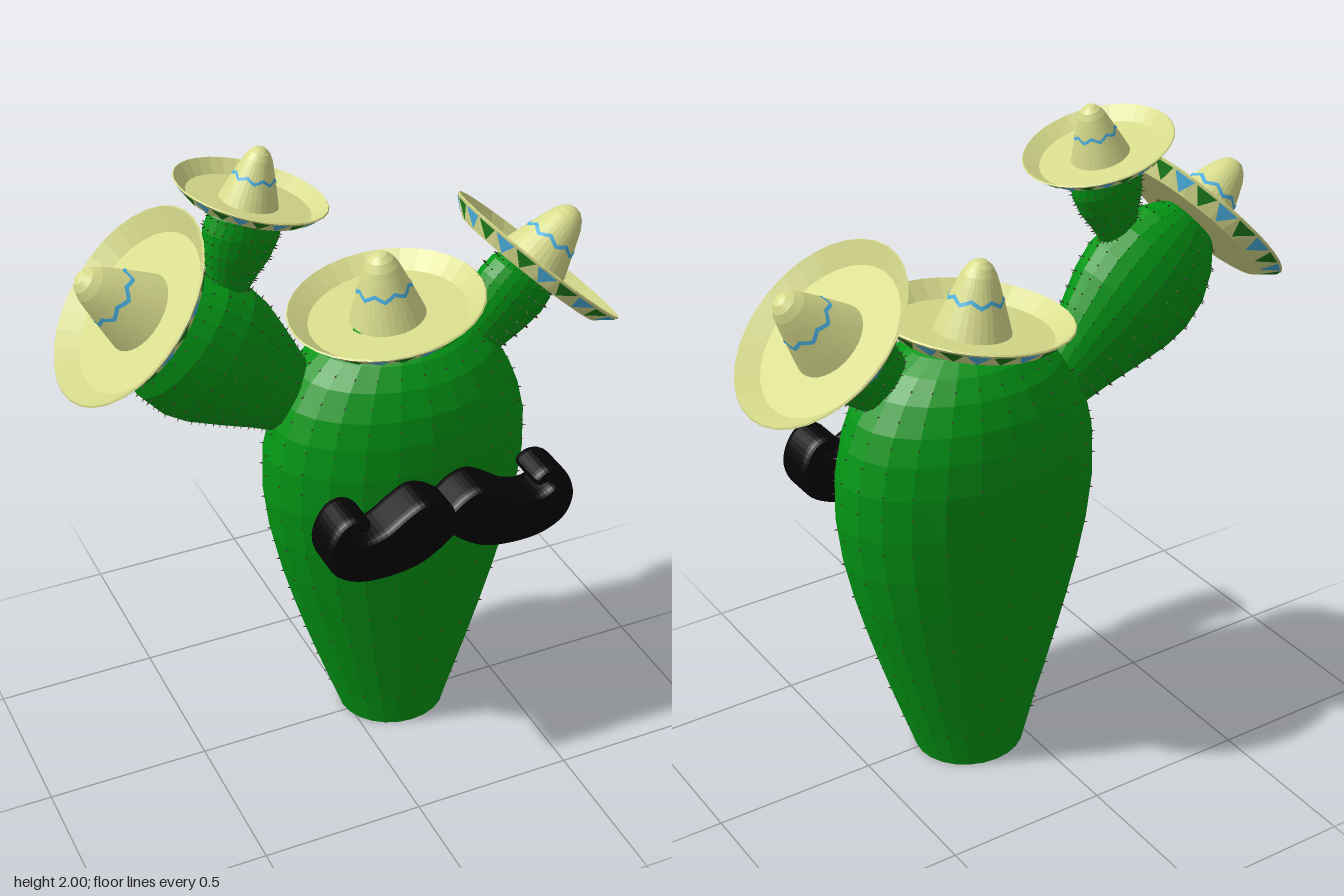
import * as THREE from 'three';
import { mergeGeometries } from 'three/addons/utils/BufferGeometryUtils.js';

const mat = (color, extra = {}) => new THREE.MeshStandardMaterial({ color, ...extra });
const green = mat(0x029614, { flatShading: true, side: THREE.DoubleSide });
const straw = mat(0xd8dc8c, { flatShading: true, side: THREE.DoubleSide });
const spineMat = mat(0x3c2a22);
const blue = mat(0x4ab0e0);
const darkGreen = mat(0x1c7a1c);
const black = mat(0x040404);
const SIDES = 24;

function mesh(name, geometry, material) {
  const m = new THREE.Mesh(geometry, material);
  m.name = name;
  return m;
}

// Linear lookup in rows of [key, a, b]
function sample(rows, s) {
  let i = 0;
  while (i < rows.length - 2 && rows[i + 1][0] < s) i++;
  const t = (s - rows[i][0]) / (rows[i + 1][0] - rows[i][0]);
  return rows[i].map((v, k) => THREE.MathUtils.lerp(v, rows[i + 1][k], t));
}

// Fleshy pod with elliptic cross-sections: rows of [height, half width, half depth]
function podGeometry(rows) {
  const g = new THREE.LatheGeometry(rows.map(([s, rx]) => new THREE.Vector2(rx, s)), SIDES);
  const p = g.attributes.position;
  for (let i = 0; i < p.count; i++) {
    const [, rx, rz] = rows[i % rows.length];
    if (rx > 0) p.setZ(i, p.getZ(i) * rz / rx);
  }
  g.computeVertexNormals();
  return g;
}

// Rows of tiny cones pointing outward from a pod
function spineGeometry(rows, step, start, end) {
  const spines = [];
  const up = new THREE.Vector3(0, 1, 0);
  for (let s = start; s < end; s += step) {
    const [, rx, rz] = sample(rows, s);
    for (let k = 0; k < SIDES; k++) {
      const a = (k / SIDES) * Math.PI * 2;
      const dir = new THREE.Vector3(Math.sin(a) / rx, 0, Math.cos(a) / rz).normalize();
      const cone = new THREE.ConeGeometry(0.005, 0.022, 4);
      cone.applyQuaternion(new THREE.Quaternion().setFromUnitVectors(up, dir));
      cone.translate(rx * Math.sin(a), s, rz * Math.cos(a));
      spines.push(cone);
    }
  }
  return mergeGeometries(spines);
}

// Hat with a flat floor, upturned brim, pointed crown, zigzag ribbon and triangle trim
function makeHat(name, scale) {
  const hat = new THREE.Group();
  hat.name = name;
  const crown = [[0.006, 0.115], [0.05, 0.1], [0.1, 0.082], [0.15, 0.064], [0.18, 0.052],
    [0.203, 0.038], [0.218, 0.02], [0.223, 0]];
  const profile = [[0, 0], [0.245, 0], [0.298, 0.048], [0.294, 0.052], [0.24, 0.006],
    ...crown.map(([y, r]) => [r, y])].map(([r, y]) => new THREE.Vector2(r, y));
  hat.add(mesh('hatShell', new THREE.LatheGeometry(profile, 32), straw));

  // Ribbon hugs the crown and zigzags up and down
  const ribbon = new THREE.CylinderGeometry(1, 1, 1, 32, 1, true);
  const p = ribbon.attributes.position;
  for (let i = 0; i < p.count; i++) {
    const y = 0.102 + 0.008 * Math.abs((i % 33) % 4 - 2) + p.getY(i) * 0.012;
    const r = sample(crown, y)[1] + 0.002;
    p.setXYZ(i, p.getX(i) * r, y, p.getZ(i) * r);
  }
  ribbon.computeVertexNormals();
  hat.add(mesh('hatRibbon', ribbon, blue));

  // Triangles lie just outside the upturned brim
  const trim = [[], []];
  const count = 24;
  const onBrim = (a, t) => {
    const r = THREE.MathUtils.lerp(0.247, 0.3, t);
    return [r * Math.sin(a), 0.048 * t - 0.002, r * Math.cos(a)];
  };
  for (let i = 0; i < count; i++) {
    const a = (i / count) * Math.PI * 2;
    const w = Math.PI / count * 0.9;
    trim[i % 2].push(...onBrim(a, 0.1), ...onBrim(a + w, 0.92), ...onBrim(a - w, 0.92));
  }
  trim.forEach((corners, i) => {
    const g = new THREE.BufferGeometry();
    g.setAttribute('position', new THREE.Float32BufferAttribute(corners, 3));
    g.computeVertexNormals();
    hat.add(mesh(i ? 'greenTrim' : 'blueTrim', g, i ? darkGreen : blue));
  });
  hat.scale.setScalar(scale);
  return hat;
}

// Limb whose local origin is the hat seat; the axis points along (dx, dy)
function makeLimb(name, [x, y, z], [dx, dy], profile, step, hatScale) {
  const limb = new THREE.Group();
  limb.name = name;
  const rows = profile.map(([s, r]) => [s, r, r * 0.66]);
  limb.add(mesh(name + 'Flesh', podGeometry(rows), green));
  limb.add(mesh(name + 'Spines', spineGeometry(rows, step, rows[0][0] + step, -0.02), spineMat));
  limb.add(makeHat(name + 'Hat', hatScale));
  limb.position.set(x, y, z);
  limb.rotation.z = Math.atan2(-dx, dy);
  return limb;
}

function makeMoustache() {
  // Left half outline, from the upper notch round the curl to the lower notch
  const half = [[0, 0.968], [0.045, 1], [0.095, 1.012], [0.15, 0.985], [0.21, 0.945], [0.27, 0.93],
    [0.315, 0.945], [0.325, 0.97], [0.305, 0.982], [0.275, 0.975], [0.265, 0.997], [0.3, 1.02],
    [0.345, 1.008], [0.378, 0.96], [0.388, 0.9], [0.36, 0.84], [0.29, 0.803], [0.2, 0.796],
    [0.11, 0.81], [0.045, 0.845], [0, 0.882]];
  const side = new THREE.SplineCurve(half.map(([x, y]) => new THREE.Vector2(x, y))).getPoints(80);
  const mirrored = side.slice(1, -1).reverse().map((p) => new THREE.Vector2(-p.x, p.y));
  const g = new THREE.ExtrudeGeometry(new THREE.Shape([...side, ...mirrored]), {
    depth: 0.088, bevelEnabled: true, bevelThickness: 0.026, bevelSize: 0.014, bevelOffset: -0.009, bevelSegments: 4,
  });
  const m = mesh('moustache', g, black);
  m.position.set(0.16, 0, 0.256);
  return m;
}

export function createModel() {
  const model = new THREE.Group();
  model.name = 'cactus';

  // Trunk, open underneath
  const trunk = [[0, 0.17, 0.158], [0.12, 0.213, 0.172], [0.24, 0.255, 0.187], [0.36, 0.295, 0.202],
    [0.48, 0.332, 0.217], [0.6, 0.366, 0.231], [0.74, 0.397, 0.246], [0.88, 0.414, 0.257],
    [1.02, 0.41, 0.262], [1.12, 0.387, 0.256], [1.2, 0.355, 0.243], [1.28, 0.302, 0.213],
    [1.34, 0.235, 0.172], [1.375, 0.17, 0.126], [1.395, 0.1, 0.075], [1.407, 0, 0]];
  const body = new THREE.Group();
  body.name = 'trunk';
  body.add(mesh('trunkFlesh', podGeometry(trunk), green));
  body.add(mesh('trunkSpines', spineGeometry(trunk, 0.12, 0.12, 1.0), spineMat));
  body.add(mesh('upperTrunkSpines', spineGeometry(trunk, 0.07, 1.03, 1.35), spineMat));
  body.position.set(0.155, 0, -0.027);
  model.add(body);

  const trunkHat = makeHat('trunkHat', 0.975);
  trunkHat.position.set(0.137, 1.395, -0.042);
  trunkHat.rotation.z = 0.135;
  model.add(trunkHat);

  // Arms and the bud growing from the right arm
  model.add(makeLimb('rightArm', [-0.597, 1.569, -0.07], [-0.745, 0.667],
    [[-0.65, 0.09], [-0.52, 0.132], [-0.42, 0.17], [-0.32, 0.205], [-0.24, 0.218], [-0.15, 0.207],
      [-0.07, 0.168], [-0.01, 0.115], [0.01, 0.08], [0.02, 0]], 0.045, 1.015));
  model.add(makeLimb('leftArm', [0.573, 1.469, -0.012], [0.67, 0.742],
    [[-0.42, 0.055], [-0.31, 0.075], [-0.23, 0.095], [-0.15, 0.115], [-0.08, 0.126], [-0.03, 0.12],
      [-0.003, 0.1], [0.02, 0]], 0.04, 1));
  model.add(makeLimb('bud', [-0.275, 1.84, -0.065], [0.264, 0.964],
    [[-0.29, 0.05], [-0.21, 0.075], [-0.15, 0.1], [-0.09, 0.112], [-0.04, 0.107], [-0.005, 0.08],
      [0.015, 0]], 0.035, 0.73));

  model.add(makeMoustache());
  return model;
}
